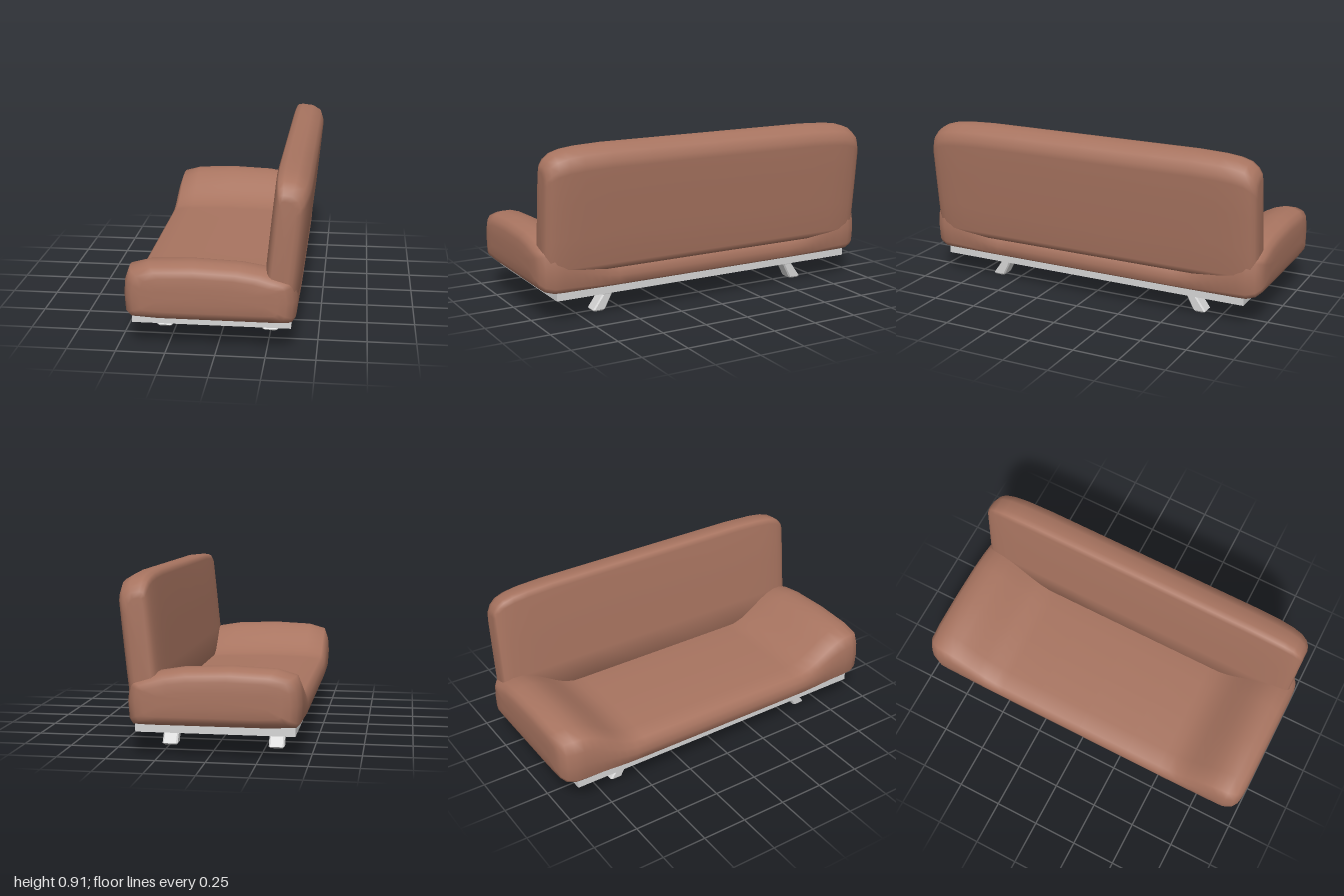
import * as THREE from 'three';

// Closed skin over equal-length rings of [x, y, z], with fan caps at both ends
function loft(rings) {
  const n = rings[0].length, pos = rings.flat(2), index = [];
  for (let i = 0; i < rings.length - 1; i++) {
    for (let j = 0; j < n; j++) {
      const k = (j + 1) % n, a = i * n, b = a + n;
      index.push(a + j, a + k, b + k, a + j, b + k, b + j);
    }
  }
  const cap = (ring, start, flip) => {
    const c = pos.length / 3;
    for (let d = 0; d < 3; d++) pos.push(ring.reduce((s, p) => s + p[d], 0) / n);
    for (let j = 0; j < n; j++) {
      const k = (j + 1) % n;
      index.push(c, start + (flip ? k : j), start + (flip ? j : k));
    }
  };
  cap(rings[0], 0, true);
  cap(rings[rings.length - 1], (rings.length - 1) * n, false);
  const g = new THREE.BufferGeometry();
  g.setAttribute('position', new THREE.Float32BufferAttribute(pos, 3));
  g.setIndex(index);
  g.computeVertexNormals();
  return g;
}

// Turns a list of half-length rows (first number is z) into a mirrored list
const mirrorRows = rows => [
  ...rows.slice().reverse().map(([z, ...r]) => [-z, ...r]),
  ...rows.filter(r => r[0] > 0),
];

// Seat base: one profile, lowered between the two raised arms
function seatGeometry() {
  const profile = [
    [-0.458, 0.19], [-0.438, 0.168], [-0.3, 0.16], [0, 0.16], [0.3, 0.16], [0.378, 0.163],
    [0.395, 0.19], [0.402, 0.28], [0.392, 0.365], [0.378, 0.387], [0.33, 0.402], [0.24, 0.432],
    [0.12, 0.452], [-0.12, 0.462], [-0.34, 0.452], [-0.435, 0.425], [-0.458, 0.36], [-0.464, 0.28],
  ];
  // z, inset of the rounded ends
  const rows = mirrorRows([
    [0, 0], [0.3, 0], [0.5, 0], [0.56, 0], [0.62, 0], [0.67, 0], [0.72, 0], [0.77, 0], [0.82, 0],
    [0.87, 0], [0.92, 0.002], [0.965, 0.02], [0.988, 0.05], [0.997, 0.09], [1, 0.16],
  ]);
  return loft(rows.map(([z, inset]) => {
    const arm = THREE.MathUtils.smoothstep(Math.abs(z), 0.54, 0.89);
    const height = THREE.MathUtils.lerp(0.47, 1, arm);
    const sx = 1 - inset / 0.43, sy = 1 - inset / 0.22;
    return profile.map(([x, y]) => {
      const lowered = 0.16 + (y - 0.16) * height;
      return [-0.03 + (x + 0.03) * sx, 0.3 + (lowered - 0.3) * sy, z];
    });
  }));
}

// Leaning backrest with softly rounded upper corners
function backrestGeometry() {
  const profile = [
    [0.222, 0.26], [0.31, 0.255], [0.395, 0.26], [0.407, 0.29], [0.425, 0.45], [0.444, 0.64],
    [0.459, 0.8], [0.456, 0.83], [0.441, 0.875], [0.39, 0.905], [0.325, 0.912], [0.296, 0.907],
    [0.283, 0.88], [0.258, 0.64], [0.237, 0.43],
  ];
  // z, depth scale, height scale
  const rows = mirrorRows([
    [0, 1, 1], [0.4, 1, 1], [0.62, 1, 1], [0.77, 0.99, 0.99], [0.85, 0.95, 0.975],
    [0.905, 0.88, 0.95], [0.94, 0.78, 0.91], [0.96, 0.64, 0.865], [0.968, 0.45, 0.82],
  ]);
  return loft(rows.map(([z, sx, sy]) => profile.map(([x, y]) => {
    const lean = 0.107 * (y - 0.26), axis = 0.29;
    const newY = 0.26 + (y - 0.26) * sy;
    return [axis + (x - lean - axis) * sx + 0.107 * (newY - 0.26), newY, z];
  })));
}

// Splayed foot: rows of height, half width, inner z, outer z
function footGeometry() {
  const rows = [
    [0, 0.034, 0.6, 0.656], [0.008, 0.04, 0.592, 0.663],
    [0.088, 0.04, 0.55, 0.606], [0.122, 0.048, 0.53, 0.626],
  ];
  const g = loft(rows.map(([y, w, z0, z1]) => {
    const c = 0.008; // cut corners
    return [
      [-w + c, y, z1], [w - c, y, z1], [w, y, z1 - c], [w, y, z0 + c],
      [w - c, y, z0], [-w + c, y, z0], [-w, y, z0 + c], [-w, y, z1 - c],
    ];
  })).toNonIndexed();
  g.computeVertexNormals();
  return g;
}

export function createModel() {
  const model = new THREE.Group();
  model.name = 'sofa';
  const leather = new THREE.MeshStandardMaterial({ color: 0xa87460 });
  leather.name = 'brown leather';
  const metal = new THREE.MeshStandardMaterial({ color: 0xd6d6d6 });
  metal.name = 'light grey metal';

  const add = (name, geometry, material) => {
    const mesh = new THREE.Mesh(geometry, material);
    mesh.name = name;
    model.add(mesh);
    return mesh;
  };

  add('seatWithArms', seatGeometry(), leather);
  add('backrest', backrestGeometry(), leather);
  add('basePlate', new THREE.BoxGeometry(0.8, 0.05, 1.81), metal).position.set(-0.03, 0.145, 0);

  // Four feet splayed towards the ends
  const foot = footGeometry();
  for (const x of [-0.308, 0.248]) {
    for (const turn of [0, Math.PI]) {
      const mesh = add('foot', foot, metal);
      mesh.position.x = x;
      mesh.rotation.y = turn;
    }
  }
  return model;
}
